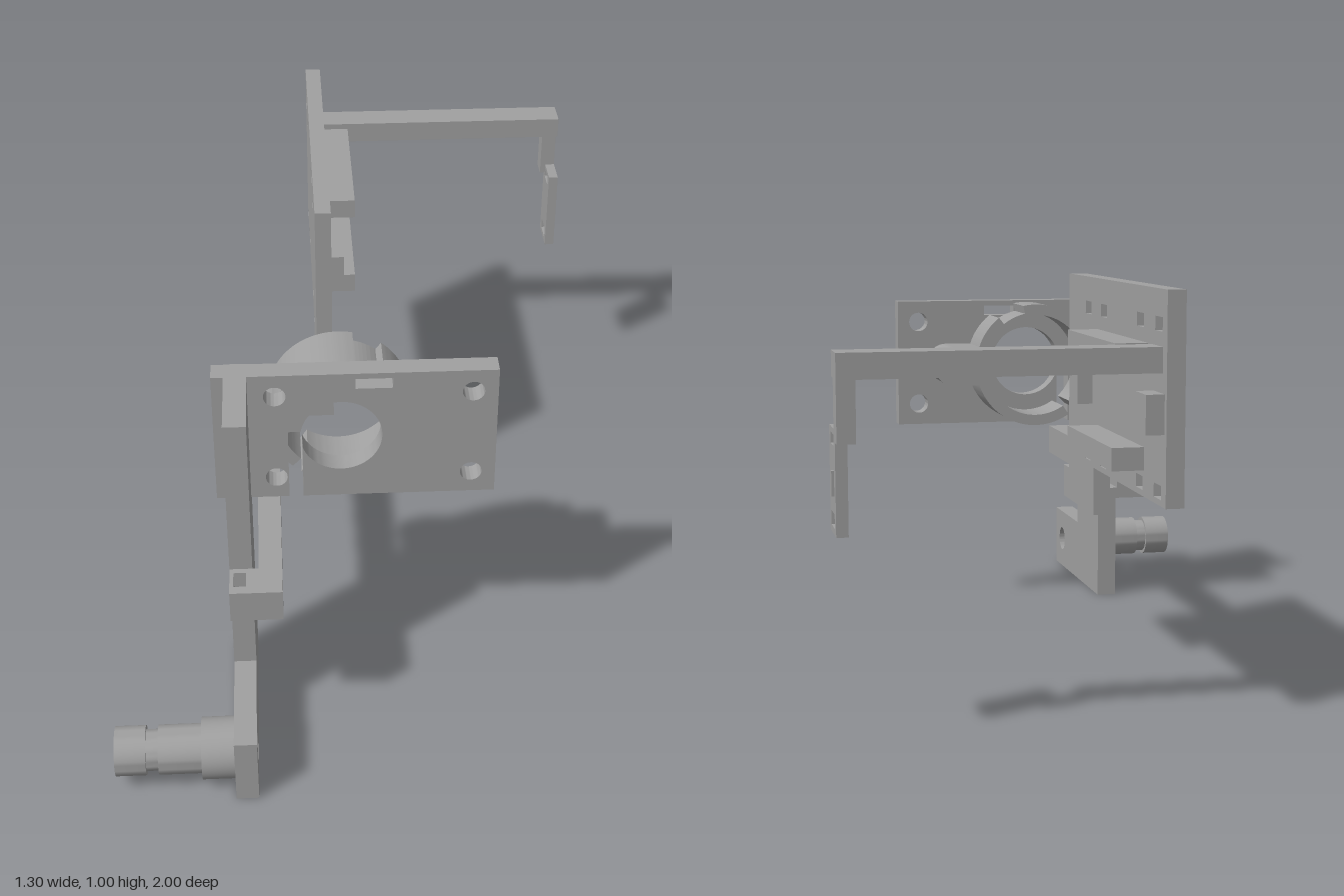
import * as THREE from 'three';
import { toCreasedNormals } from 'three/addons/utils/BufferGeometryUtils.js';

export function createModel() {
  const model = new THREE.Group();
  const grey = new THREE.MeshStandardMaterial({ color: 0xa0a0a0 });
  grey.name = 'matte grey';

  function add(name, geometry) {
    const mesh = new THREE.Mesh(geometry, grey);
    mesh.name = name;
    model.add(mesh);
    return mesh;
  }
  // Box given by its limits on each axis
  function box(name, x0, x1, y0, y1, z0, z1) {
    const g = new THREE.BoxGeometry(x1 - x0, y1 - y0, z1 - z0);
    return add(name, g.translate((x0 + x1) / 2, (y0 + y1) / 2, (z0 + z1) / 2));
  }
  const poly = (...pts) => new THREE.Shape(pts.map(p => new THREE.Vector2(...p)));
  const rect = (a0, a1, b0, b1) => poly([a0, b0], [a1, b0], [a1, b1], [a0, b1]);
  const circle = (x, y, r) => new THREE.Path().absarc(x, y, r, 0, Math.PI * 2, false);
  const solid = (shape, depth) => toCreasedNormals(
    new THREE.ExtrudeGeometry(shape, { depth, bevelEnabled: false, curveSegments: 32 }), 0.5);
  // Extrude an (x, y) shape along z
  const alongZ = (name, shape, z0, z1) => add(name, solid(shape, z1 - z0).translate(0, 0, z0));
  // Extrude a (z, y) shape along x
  const alongX = (name, shape, x0, x1) =>
    add(name, solid(shape, x1 - x0).rotateY(-Math.PI / 2).translate(x1, 0, 0));
  // Extrude an (x, -z) shape along y
  const alongY = (name, shape, y0, y1) =>
    add(name, solid(shape, y1 - y0).rotateX(-Math.PI / 2).translate(0, y0, 0));

  // Upright side bracket with its foot
  const side = poly([0.45, 0], [1, 0], [1, 0.18], [0.71, 0.18], [0.71, 0.9], [0.45, 0.9]);
  side.holes.push(circle(0.915, 0.09, 0.036));
  alongX('sideBracket', side, -0.36, -0.305);

  // Hollow stepped connector
  const profile = [[0.036, 0.36], [0.075, 0.36], [0.075, 0.44], [0.06, 0.44], [0.06, 0.545],
    [0.05, 0.545], [0.05, 0.575], [0.06, 0.575], [0.06, 0.65], [0.036, 0.65], [0.036, 0.36]];
  const barrel = new THREE.LatheGeometry(profile.map(p => new THREE.Vector2(...p)), 40);
  add('connector', toCreasedNormals(barrel, 0.5).rotateZ(Math.PI / 2).translate(0, 0.09, 0.915));

  // Front mounting plate, its round opening running into a slot at the bottom
  const cx = -0.08, cy = 0.72;
  const front = new THREE.Shape();
  front.moveTo(-0.39, 0.54);
  front.lineTo(-0.21, 0.54);
  front.lineTo(-0.21, 0.735);
  front.absarc(cx, cy, 0.1, Math.PI - 0.15, -Math.PI + 0.318, true);
  front.lineTo(-0.175, 0.54);
  front.lineTo(0.3, 0.54);
  front.lineTo(0.3, 0.9);
  front.lineTo(-0.39, 0.9);
  front.closePath();
  for (const x of [-0.24, 0.24]) for (const y of [0.6, 0.84]) front.holes.push(circle(x, y, 0.027));
  front.holes.push(rect(-0.045, 0.045, 0.857, 0.885));
  alongZ('frontPlate', front, 0.452, 0.507);

  // Split collar behind the plate: [start angle, end angle, outer radius]
  const rad = THREE.MathUtils.degToRad;
  for (const [a0, a1, r] of [[-124, 52, 0.175], [52, 78, 0.152], [78, 227, 0.175]]) {
    const arc = new THREE.Shape();
    arc.absarc(cx, cy, r, rad(a0), rad(a1), false);
    arc.absarc(cx, cy, 0.145, rad(a1), rad(a0), true);
    arc.closePath();
    alongZ('collar', arc, 0.31, 0.452);
  }
  // Collar ears
  for (const s of [1, -1]) {
    const ear = new THREE.Shape();
    const turn = s > 0 ? 0 : Math.PI;
    ear.absarc(cx + s * 0.24, cy, 0.055, turn - Math.PI / 2, turn + Math.PI / 2, false);
    ear.absarc(cx, cy, 0.15, turn + 0.375, turn - 0.375, true);
    ear.closePath();
    ear.holes.push(circle(cx + s * 0.235, cy, 0.026));
    alongZ('collarEar', ear, 0.31, 0.452);
  }

  // Long link bar with a holed block at its front end
  box('linkBar', -0.29, -0.233, 0.395, 0.48, -0.05, 0.8);
  const block = rect(-0.36, -0.285, -0.8, -0.71);
  block.holes.push(rect(-0.35, -0.32, -0.775, -0.725));
  alongY('linkFrontBlock', block, 0.395, 0.48);

  // Rear cross link: holed end, then a notched step to the rear plate
  const end = rect(-0.29, -0.23, 0.04, 0.117);
  end.holes.push(rect(-0.275, -0.245, 0.052, 0.103));
  alongY('crossLinkEnd', end, 0.395, 0.48);
  alongZ('crossLink', poly([-0.23, 0.395], [-0.08, 0.395], [-0.08, 0.48], [-0.175, 0.48],
    [-0.175, 0.423], [-0.21, 0.423], [-0.21, 0.48], [-0.23, 0.48]), -0.117, -0.04);

  // Rear plate with two rows of small slots
  const rear = poly([-1, 0.517], [-0.365, 0.517], [-0.365, 0.395], [-0.1, 0.395], [-0.1, 1], [-1, 1]);
  for (const z of [-0.305, -0.457, -0.787, -0.935])
    for (const y of [0.547, 0.922]) rear.holes.push(rect(z - 0.029, z + 0.029, y - 0.016, y + 0.016));
  alongX('rearPlate', rear, -0.123, -0.08);

  // Rails and small blocks on the rear plate
  box('upperRail', -0.08, -0.003, 0.82, 0.873, -0.85, -0.4);
  box('lowerRail', -0.08, -0.003, 0.578, 0.632, -0.825, -0.4);
  box('plateBlock', -0.08, -0.04, 0.68, 0.77, -0.35, -0.265);
  box('plateBlock', -0.08, -0.037, 0.68, 0.77, -0.985, -0.9);

  // Side arm, its drop leg and the slotted hanger
  box('sideArm', -0.08, 0.64, 0.815, 0.873, -0.968, -0.882);
  box('armLeg', 0.598, 0.64, 0.677, 0.82, -0.968, -0.912);
  const hanger = rect(-0.935, -0.825, 0.47, 0.705);
  hanger.holes.push(rect(-0.91, -0.845, 0.485, 0.517), rect(-0.91, -0.85, 0.667, 0.692));
  alongX('hanger', hanger, 0.613, 0.64);
  box('hangerTab', 0.63, 0.646, 0.557, 0.613, -0.91, -0.895);

  return model;
}
